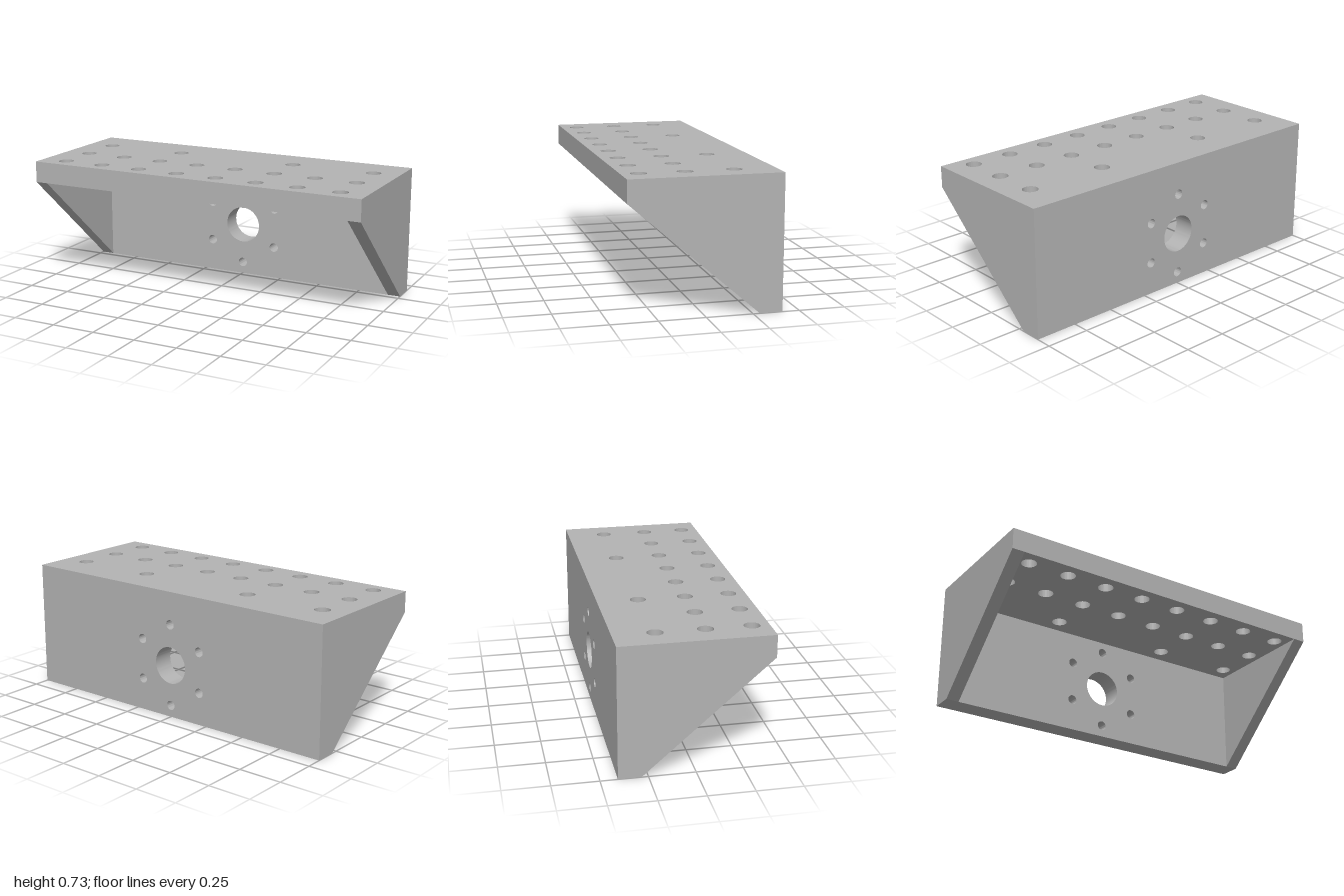
import * as THREE from 'three';
import { toCreasedNormals } from 'three/addons/utils/BufferGeometryUtils.js';

const HALF_W = 1, HALF_D = 0.408, HEIGHT = 0.728;
const PLATE = 0.122;           // thickness of the top and back plates
const RIB = 0.073;             // thickness of the side gussets
const UNDER = HEIGHT - PLATE;  // underside of the top plate
const INNER = -HALF_D + PLATE; // front face of the back plate

// Rectangular plate with round holes given as [x, y, radius]
function drilledPlate(y0, y1, holes) {
  const shape = new THREE.Shape([
    new THREE.Vector2(-HALF_W, y0), new THREE.Vector2(HALF_W, y0),
    new THREE.Vector2(HALF_W, y1), new THREE.Vector2(-HALF_W, y1),
  ]);
  for (const [x, y, r] of holes) {
    shape.holes.push(new THREE.Path().absarc(x, y, r, 0, Math.PI * 2, true));
  }
  const geo = new THREE.ExtrudeGeometry(shape, { depth: PLATE, bevelEnabled: false, curveSegments: 36 });
  return toCreasedNormals(geo, 0.5);
}

export function createModel() {
  const group = new THREE.Group();
  group.name = 'angleBracket';
  const metal = new THREE.MeshStandardMaterial({ color: 0xb3b3b3 });
  metal.name = 'grey metal';

  const add = (name, geometry) => {
    const mesh = new THREE.Mesh(geometry, metal);
    mesh.name = name;
    group.add(mesh);
    return mesh;
  };

  // Top plate: two full rows of eight holes, and a sparse rear row
  const topHoles = [];
  for (let i = 0; i < 8; i++) {
    const x = -0.85 + i * 0.2428;
    topHoles.push([x, -0.315, 0.043], [x, -0.073, 0.043]);
    if ([0, 2, 5, 7].includes(i)) topHoles.push([x, 0.186, 0.043]);
  }
  const top = drilledPlate(-HALF_D, HALF_D, topHoles);
  top.rotateX(-Math.PI / 2);
  add('topPlate', top).position.y = UNDER;

  // Back plate: large bore ringed by six bolt holes
  const boreY = 0.304;
  const backHoles = [[0, boreY, 0.106]];
  for (let i = 0; i < 6; i++) {
    const a = Math.PI / 2 + i * Math.PI / 3;
    backHoles.push([0.236 * Math.cos(a), boreY + 0.236 * Math.sin(a), 0.027]);
  }
  add('backPlate', drilledPlate(0, UNDER, backHoles)).position.z = -HALF_D;

  // Triangular gussets closing both ends
  const rib = new THREE.Shape([
    new THREE.Vector2(INNER, 0), new THREE.Vector2(HALF_D, UNDER), new THREE.Vector2(INNER, UNDER),
  ]);
  const ribGeo = new THREE.ExtrudeGeometry(rib, { depth: RIB, bevelEnabled: false });
  ribGeo.rotateY(-Math.PI / 2);
  add('leftGusset', ribGeo).position.x = HALF_W;
  add('rightGusset', ribGeo).position.x = -HALF_W + RIB;

  return group;
}
